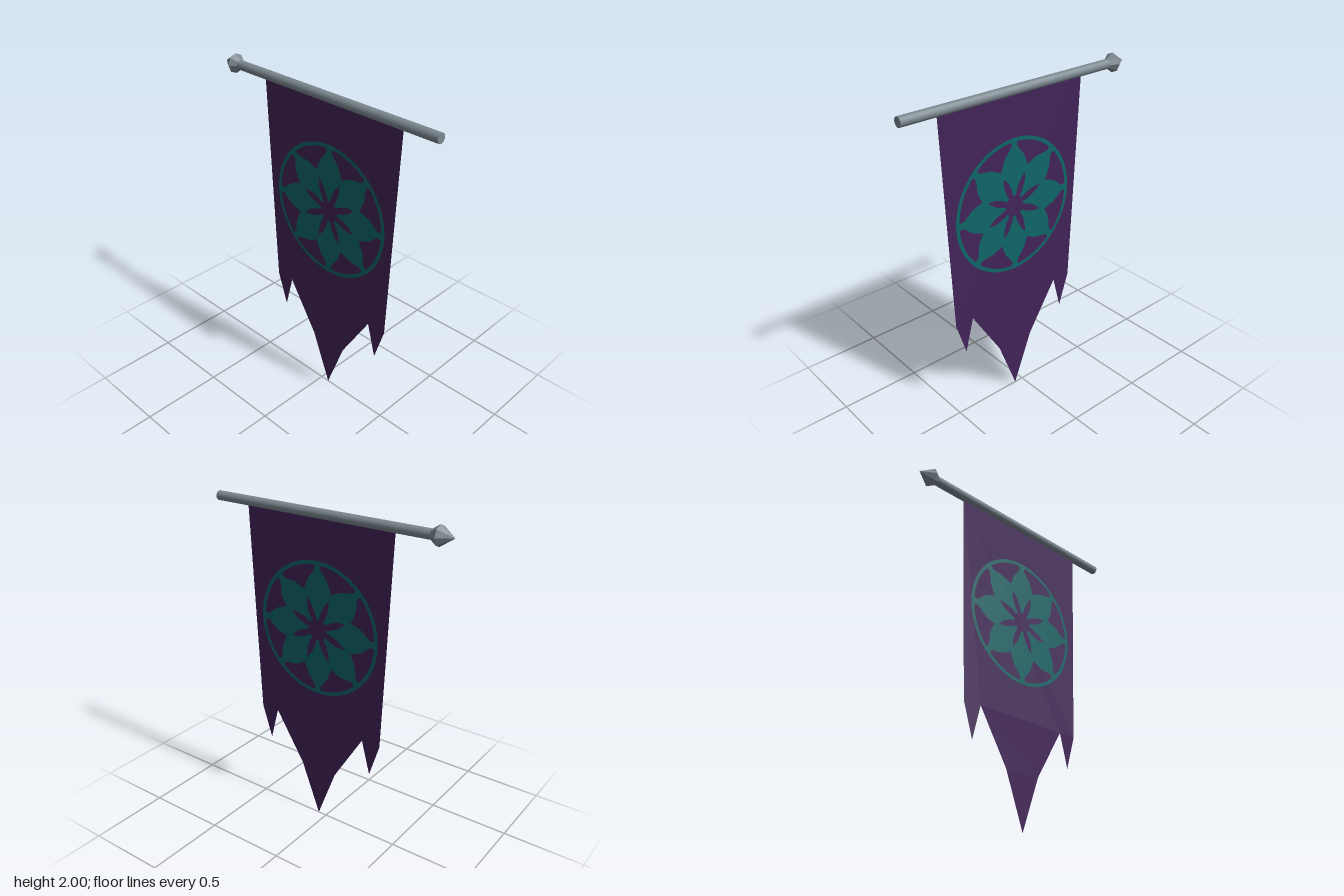
import * as THREE from 'three';

const steel = new THREE.MeshStandardMaterial({ color: 0x7c8890 });
steel.name = 'steel';
const purple = new THREE.MeshStandardMaterial({ color: 0x422358, side: THREE.DoubleSide });
purple.name = 'purple cloth';
const teal = new THREE.MeshStandardMaterial({ color: 0x0f6668, side: THREE.DoubleSide });
teal.name = 'teal dye';

const POLE_Y = 1.943;
const CLOTH_Z = 0.057;

function add(parent, name, geometry, material) {
  const mesh = new THREE.Mesh(geometry, material);
  mesh.name = name;
  parent.add(mesh);
  return mesh;
}

// Closed shape from a half outline of [half width, height], mirrored across the centre line
function mirroredShape(half) {
  const other = half.filter(([w]) => w > 0).reverse().map(([w, y]) => [-w, y]);
  return new THREE.Shape([...half, ...other].map(([w, y]) => new THREE.Vector2(w, y)));
}

// Eight petals inside a ring, drawn around the origin
function emblemShapes() {
  const outline = [[0.008, 0.063], [0.021, 0.106], [0.042, 0.148], [0.079, 0.19], [0.094, 0.228],
    [0.083, 0.262], [0.067, 0.3], [0.038, 0.335], [0.019, 0.36], [0.021, 0.378], [0.028, 0.393]];
  const shapes = [];
  for (let i = 0; i < 8; i++) {
    const petal = mirroredShape(outline).getPoints();
    petal.forEach((p) => p.rotateAround(new THREE.Vector2(), (i * Math.PI) / 4));
    shapes.push(new THREE.Shape(petal));
  }
  const ring = new THREE.Shape().absarc(0, 0, 0.408, 0, Math.PI * 2);
  ring.holes.push(new THREE.Path().absarc(0, 0, 0.386, 0, Math.PI * 2, true));
  shapes.push(ring);
  return shapes;
}

export function createModel() {
  const model = new THREE.Group();
  model.name = 'hangingBanner';

  // Horizontal pole
  const pole = add(model, 'pole', new THREE.CylinderGeometry(0.028, 0.028, 1.425, 16), steel);
  pole.rotation.x = -Math.PI / 2;
  pole.position.set(0, POLE_Y, 0.0555);

  // Faceted spear tip on the pole
  const profile = [[0, 0.64], [0.028, 0.64], [0.057, 0.683], [0, 0.766]]
    .map(([r, y]) => new THREE.Vector2(r, y));
  const tipGeometry = new THREE.LatheGeometry(profile, 8).toNonIndexed();
  tipGeometry.computeVertexNormals();
  const tip = add(model, 'spearTip', tipGeometry, steel);
  tip.rotation.x = -Math.PI / 2;
  tip.position.y = POLE_Y;

  // Tapered cloth with a forked lower edge
  const cloth = add(model, 'cloth', new THREE.ShapeGeometry(mirroredShape([
    [0, 0], [0.124, 0.33], [0.318, 0.645], [0.374, 0.434], [0.439, 0.642], [0.491, POLE_Y],
  ])), purple);
  cloth.rotation.y = -Math.PI / 2;
  cloth.position.z = CLOTH_Z;

  // Flower emblem on both faces of the cloth
  const emblemGeometry = new THREE.ShapeGeometry(emblemShapes(), 32);
  for (const side of [1, -1]) {
    const emblem = add(model, side > 0 ? 'emblemLeft' : 'emblemRight', emblemGeometry, teal);
    emblem.rotation.y = (side * Math.PI) / 2;
    emblem.position.set(side * 0.003, 1.27, CLOTH_Z);
  }
  return model;
}
